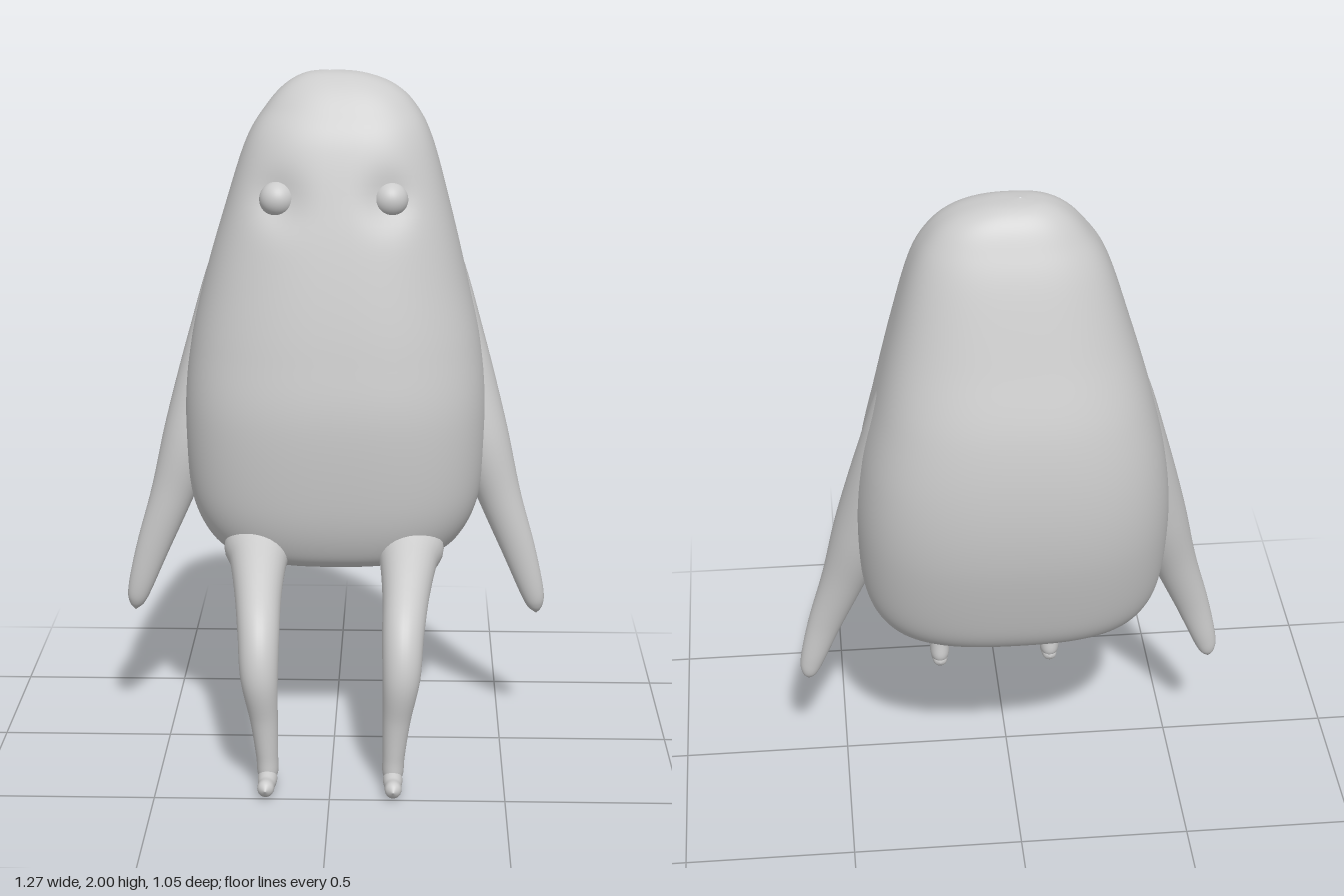
import * as THREE from 'three';

const material = new THREE.MeshStandardMaterial({ color: 0xcccccc });

// Catmull-Rom sample through rows of numbers, t in 0..1
function sampleRows(rows, t) {
  const f = t * (rows.length - 1);
  const i = Math.min(Math.floor(f), rows.length - 2);
  const w = f - i;
  const row = (k) => rows[Math.max(0, Math.min(rows.length - 1, k))];
  return rows[0].map((_, c) => {
    const [a, b, d, e] = [row(i - 1)[c], row(i)[c], row(i + 1)[c], row(i + 2)[c]];
    return b + 0.5 * w * (d - a + w * (2 * a - 5 * b + 4 * d - e + w * (3 * (b - d) + e - a)));
  });
}

// Smooth closed skin over rings; point(t, angle) returns a Vector3
function skin(point, rings, sides) {
  const positions = [];
  const index = [];
  for (let i = 0; i <= rings; i++) {
    for (let j = 0; j < sides; j++) {
      positions.push(...point(i / rings, (j / sides) * Math.PI * 2).toArray());
      if (i === rings) continue;
      const a = i * sides + j;
      const b = i * sides + ((j + 1) % sides);
      index.push(a, b, a + sides, b, b + sides, a + sides);
    }
  }
  const geometry = new THREE.BufferGeometry();
  geometry.setAttribute('position', new THREE.Float32BufferAttribute(positions, 3));
  geometry.setIndex(index);
  geometry.computeVertexNormals();
  return geometry;
}

function part(name, geometry) {
  const mesh = new THREE.Mesh(geometry, material);
  mesh.name = name;
  return mesh;
}

// Tapering limb: rows are [x, y, z, radius along side, radius across side]
function limb(rows, side) {
  const centre = (t) => new THREE.Vector3(...sampleRows(rows, t).slice(0, 3));
  return skin((t, angle) => {
    const r = sampleRows(rows, t);
    const tangent = centre(Math.min(1, t + 0.01)).sub(centre(Math.max(0, t - 0.01))).normalize();
    const u = side.clone().addScaledVector(tangent, -side.dot(tangent)).normalize();
    const v = tangent.clone().cross(u);
    return new THREE.Vector3(r[0], r[1], r[2])
      .addScaledVector(u, Math.cos(angle) * Math.max(r[3], 0.001))
      .addScaledVector(v, Math.sin(angle) * Math.max(r[4], 0.001));
  }, 60, 28);
}

// Body sections: [y, centre x, half width, front z, back z, slope towards the front]
const bodyRows = [
  [0.585, 0, 0.003, -0.127, -0.133, -0.17],
  [0.585, 0, 0.2, 0, -0.27, -0.17],
  [0.6, 0, 0.31, 0.08, -0.36, -0.16],
  [0.65, 0, 0.385, 0.13, -0.42, -0.12],
  [0.77, 0, 0.435, 0.168, -0.462, -0.05],
  [1.0, 0, 0.45, 0.185, -0.513, 0],
  [1.2, 0, 0.432, 0.163, -0.525, 0],
  [1.4, 0, 0.388, 0.127, -0.5, 0],
  [1.6, 0.005, 0.335, 0.08, -0.437, 0],
  [1.8, 0.01, 0.275, 0.02, -0.37, 0],
  [1.9, 0.015, 0.22, -0.04, -0.325, 0],
  [1.96, 0.01, 0.16, -0.09, -0.29, 0],
  [1.992, -0.005, 0.085, -0.14, -0.25, 0],
  [2.0, -0.02, 0.003, -0.195, -0.2, 0],
];
const eyes = [[-0.165, 1.65], [0.162, 1.65]];

function bodyPoint(t, angle) {
  const [y, cx, halfWidth, front, back, slope] = sampleRows(bodyRows, t);
  const squarish = (v) => Math.sign(v) * Math.pow(Math.abs(v), 0.76);
  const depth = -squarish(Math.sin(angle)) * (front - back) / 2;
  const p = new THREE.Vector3(
    cx + squarish(Math.cos(angle)) * halfWidth, y + depth * slope, (front + back) / 2 + depth);
  // Shallow sockets around the eyes
  if (depth > 0) {
    for (const [ex, ey] of eyes) {
      const d = Math.hypot(p.x - ex, p.y - ey);
      p.z -= 0.022 * Math.exp(-((d / 0.07) ** 2));
    }
  }
  return p;
}

// Limb paths for the left (+x) side
const armRows = [
  [0.27, 1.6, -0.24, 0.01, 0.01],
  [0.315, 1.45, -0.22, 0.06, 0.055],
  [0.365, 1.2, -0.185, 0.09, 0.08],
  [0.43, 0.93, -0.14, 0.09, 0.085],
  [0.495, 0.73, -0.118, 0.06, 0.064],
  [0.553, 0.57, -0.107, 0.04, 0.05],
  [0.595, 0.44, -0.107, 0.03, 0.036],
  [0.607, 0.39, -0.11, 0.02, 0.023],
  [0.61, 0.366, -0.11, 0.001, 0.001],
];
const legRows = [
  [0.22, 0.645, -0.06, 0.01, 0.01],
  [0.222, 0.62, 0.03, 0.1, 0.085],
  [0.22, 0.59, 0.12, 0.083, 0.08],
  [0.214, 0.53, 0.25, 0.068, 0.073],
  [0.207, 0.45, 0.365, 0.06, 0.066],
  [0.203, 0.34, 0.418, 0.054, 0.054],
  [0.19, 0.21, 0.412, 0.04, 0.04],
  [0.182, 0.1, 0.405, 0.032, 0.037],
  [0.18, 0.04, 0.402, 0.028, 0.036],
  [0.18, 0.012, 0.402, 0.001, 0.001],
];
const footRows = [
  [0.18, 0.026, 0.366, 0.001, 0.001],
  [0.18, 0.028, 0.378, 0.02, 0.02],
  [0.18, 0.033, 0.42, 0.028, 0.031],
  [0.181, 0.03, 0.465, 0.024, 0.025],
  [0.182, 0.033, 0.505, 0.022, 0.023],
  [0.182, 0.033, 0.525, 0.001, 0.001],
];

export function createModel() {
  const model = new THREE.Group();
  model.name = 'seatedCreature';
  model.add(part('body', skin(bodyPoint, 120, 96)));

  const xAxis = new THREE.Vector3(1, 0, 0);
  const zAxis = new THREE.Vector3(0, 0, 1);
  for (const [side, s] of [['left', 1], ['right', -1]]) {
    const mirrored = (rows) => rows.map(([x, ...rest]) => [x * s, ...rest]);
    model.add(part(side + 'Arm', limb(mirrored(armRows), zAxis)));
    model.add(part(side + 'Leg', limb(mirrored(legRows), xAxis)));
    model.add(part(side + 'Foot', limb(mirrored(footRows), xAxis)));
  }

  // Bulging eyes set in the sockets
  eyes.forEach(([x, y], i) => {
    const eye = part(i ? 'leftEye' : 'rightEye', new THREE.SphereGeometry(0.052, 32, 24));
    eye.position.set(x, y, 0.012);
    model.add(eye);
  });
  return model;
}
